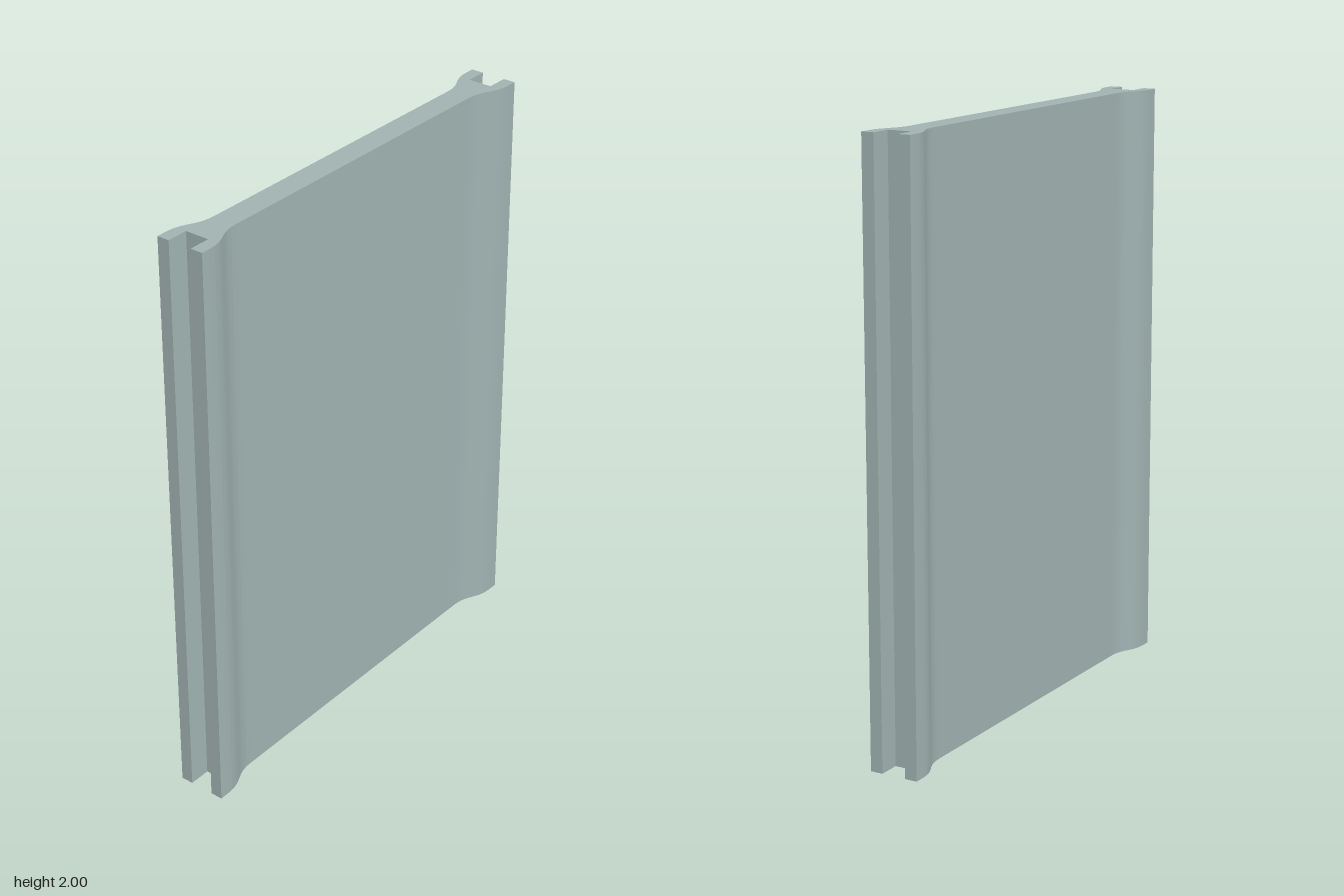
import * as THREE from 'three';

const HEIGHT = 2;
const END = 0.77;       // half width
const SLOT = 0.695;     // where the edge groove stops
const WEB = 0.042;      // half thickness of the flat panel
const LIP = 0.085;      // half thickness at the flared edges
const FLARE_IN = 0.575, FLARE_OUT = 0.735;

// Plan outline: flat panel with flared, grooved edges
function panelProfile() {
  const s = new THREE.Shape();
  const flare = (side, end) => {
    // S-curve from panel to lip on the +x end, or lip to panel on the -x end
    if (end > 0) s.bezierCurveTo(0.65, side * WEB, 0.66, side * LIP, FLARE_OUT, side * LIP);
    else s.bezierCurveTo(-0.66, side * LIP, -0.65, side * WEB, -FLARE_IN, side * WEB);
  };
  const groove = (dir) => {
    s.lineTo(dir * END, -dir * LIP);
    s.lineTo(dir * END, -dir * WEB);
    s.lineTo(dir * SLOT, -dir * WEB);
    s.lineTo(dir * SLOT, dir * WEB);
    s.lineTo(dir * END, dir * WEB);
    s.lineTo(dir * END, dir * LIP);
  };
  s.moveTo(-FLARE_IN, -WEB);
  s.lineTo(FLARE_IN, -WEB);
  flare(-1, 1);
  groove(1);
  s.lineTo(FLARE_OUT, LIP);
  s.bezierCurveTo(0.66, LIP, 0.65, WEB, FLARE_IN, WEB);
  s.lineTo(-FLARE_IN, WEB);
  s.bezierCurveTo(-0.65, WEB, -0.66, LIP, -FLARE_OUT, LIP);
  groove(-1);
  s.lineTo(-FLARE_OUT, -LIP);
  flare(-1, -1);
  return s;
}

export function createModel() {
  const group = new THREE.Group();
  group.name = 'groovedPanel';
  const material = new THREE.MeshStandardMaterial({ color: 0xa1b3b2 });
  material.name = 'paleGreyGreen';

  // Constant section extruded upwards
  const geometry = new THREE.ExtrudeGeometry(panelProfile(), {
    depth: HEIGHT, bevelEnabled: false, curveSegments: 10,
  });
  geometry.rotateX(-Math.PI / 2);
  const panel = new THREE.Mesh(geometry, material);
  panel.name = 'panel';
  group.add(panel);
  return group;
}
